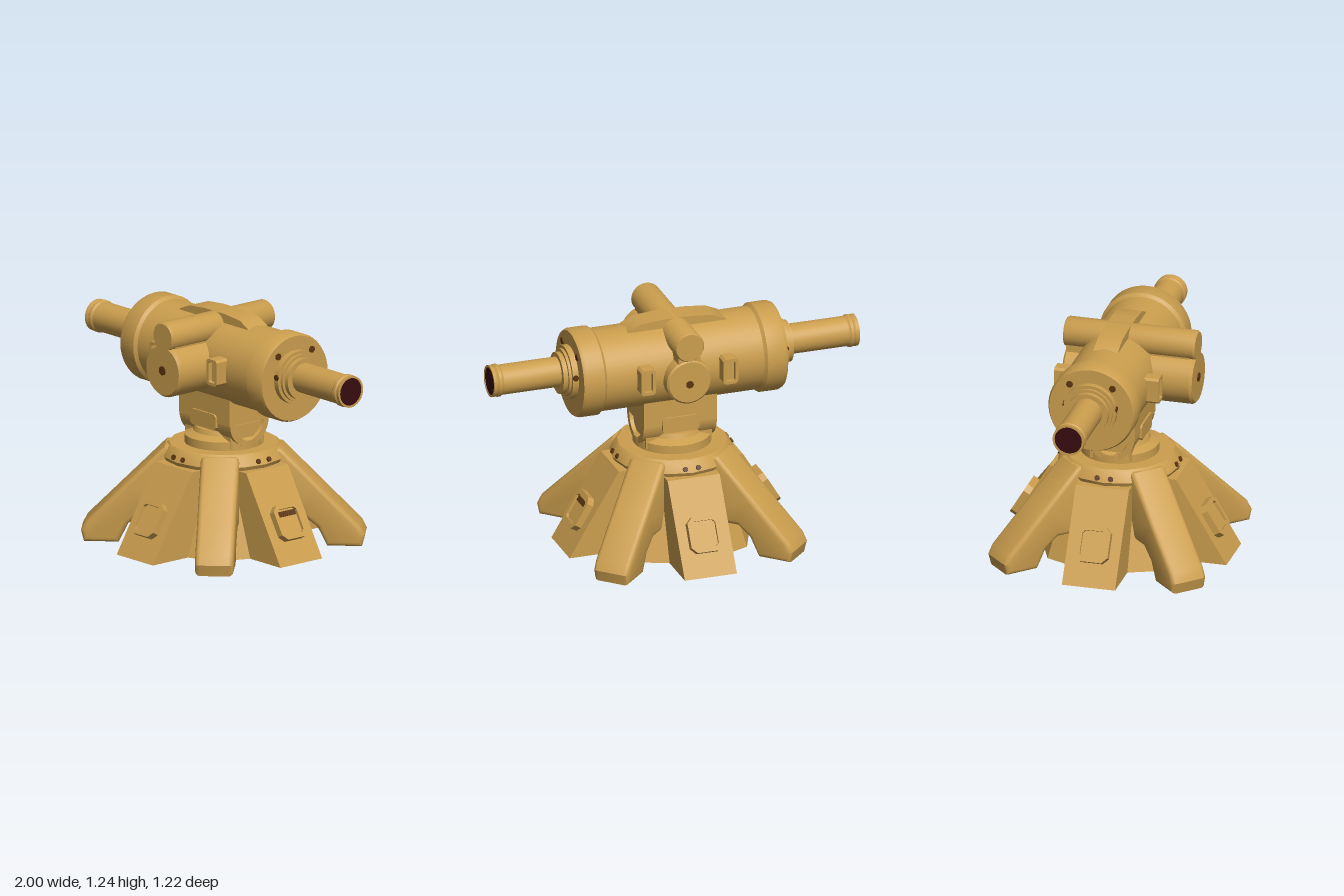
import * as THREE from 'three';
import { toCreasedNormals } from 'three/addons/utils/BufferGeometryUtils.js';

export function createModel() {
  const root = new THREE.Group();
  const mat = (name, color) => Object.assign(new THREE.MeshStandardMaterial({ color }), { name });
  const tan = mat('tan paint', 0xcb9e4e);
  const brown = mat('brown marking', 0x5c3410);
  const maroon = mat('dark bore', 0x380c10);

  const add = (name, geo, material = tan, parent = root, pos = [0, 0, 0]) => {
    const m = new THREE.Mesh(toCreasedNormals(geo, 0.6), material);
    m.name = name;
    m.position.set(...pos);
    parent.add(m);
    return m;
  };
  const lathe = (pts, seg = 32) => new THREE.LatheGeometry(pts.map(p => new THREE.Vector2(...p)), seg);
  // Lathes and discs turned to lie along x or z
  const alongX = (g) => g.rotateZ(-Math.PI / 2);
  const alongZ = (g) => g.rotateX(Math.PI / 2);
  // Side profile (x, y) extruded symmetrically in z
  const slab = (pts, width, bevel = 0) => {
    const shape = new THREE.Shape(pts.map(p => new THREE.Vector2(...p)));
    const depth = width - 2 * bevel;
    return new THREE.ExtrudeGeometry(shape, {
      depth, bevelEnabled: bevel > 0, bevelSize: bevel, bevelOffset: -bevel,
      bevelThickness: bevel, bevelSegments: 3,
    }).translate(0, 0, -depth / 2);
  };
  // Small chamfered frame with an optional opening, facing +z
  const frame = (w, h, depth, c, hole) => {
    const outline = (a, b, k) => [[-a + k, -b], [a - k, -b], [a, -b + k], [a, b - k],
      [a - k, b], [-a + k, b], [-a, b - k], [-a, -b + k]].map(p => new THREE.Vector2(...p));
    const shape = new THREE.Shape(outline(w / 2, h / 2, c));
    if (hole) shape.holes.push(new THREE.Path(outline(w / 2 - hole, h / 2 - hole, c / 2).reverse()));
    return new THREE.ExtrudeGeometry(shape, { depth, bevelEnabled: false });
  };

  // Pedestal core, sloping collar and turntable
  add('pedestalCore', new THREE.CylinderGeometry(0.27, 0.43, 0.48, 8).translate(0, 0.25, 0));
  add('pedestalCollar', lathe([[0, 0.45], [0.31, 0.45], [0.325, 0.48], [0.3, 0.525], [0.285, 0.54], [0, 0.54]], 16));
  add('turntable', lathe([[0, 0.53], [0.205, 0.53], [0.205, 0.585], [0.16, 0.605], [0.15, 0.63], [0, 0.63]]));

  for (let k = 0; k < 4; k++) {
    // Broad buttress with access hatch
    const buttress = new THREE.Group();
    buttress.name = 'buttress';
    buttress.rotation.y = k * Math.PI / 2;
    root.add(buttress);
    add('buttressBody', slab([[0, 0.01], [0.61, 0.01], [0.34, 0.46], [0, 0.46]], 0.285), tan, buttress);
    const hatch = new THREE.Group();
    hatch.name = 'hatch';
    hatch.position.set(0.492, 0.2, 0);
    hatch.rotation.set(0, Math.PI / 2, 0);
    buttress.add(hatch);
    const tilt = new THREE.Group();
    tilt.name = 'hatchTilt';
    tilt.rotation.x = -0.54;
    hatch.add(tilt);
    add('hatchFrame', frame(0.175, 0.19, 0.05, 0.03, 0.025), tan, tilt, [0, 0, -0.01]);
    add('hatchPanel', new THREE.BoxGeometry(0.13, 0.15, 0.03), tan, tilt, [0, 0, 0.01]);
    if (k === 0) add('hatchMark', new THREE.BoxGeometry(0.115, 0.028, 0.006), brown, tilt, [0, 0.045, 0.028]);
    // Paired bolts above the buttress
    for (const s of [-1, 1]) {
      const bolt = add('collarBolt', alongX(new THREE.CylinderGeometry(0.014, 0.014, 0.008, 10)), brown, buttress, [0.314, 0.5, s * 0.036]);
      bolt.rotation.z = 0.5;
    }
    // Arched diagonal leg with a separate foot
    const leg = add('diagonalLeg', slab([[0.18, 0.53], [0.3, 0.53], [0.5, 0.33], [0.71, 0.12], [0.735, 0.07],
      [0.72, 0.01], [0.54, 0.01], [0.49, 0.11], [0.42, 0.165], [0.18, 0.165]], 0.2, 0.025));
    leg.rotation.y = Math.PI / 4 + k * Math.PI / 2;
  }

  // Swivel neck: transverse drum with recessed ends and a saddle
  const drum = add('neckDrum', alongX(lathe([[0, -0.16], [0.095, -0.16], [0.1, -0.2], [0.132, -0.2],
    [0.132, 0.2], [0.1, 0.2], [0.095, 0.16], [0, 0.16]])));
  drum.position.y = 0.685;
  add('neckSaddle', new THREE.BoxGeometry(0.4, 0.15, 0.27), tan, root, [0, 0.755, 0]);
  add('neckFoot', new THREE.BoxGeometry(0.36, 0.12, 0.22), tan, root, [0, 0.61, 0]);
  for (const s of [-1, 1]) {
    add('neckLug', frame(0.2, 0.085, 0.05, 0.015), tan, root, [0, 0.68, s * 0.12 - 0.025]);
    add('neckTongue', new THREE.BoxGeometry(0.02, 0.08, 0.025), tan, root, [s * 0.17, 0.75, 0]);
  }

  // Main housing
  add('housing', alongX(lathe([[0, -0.5], [0.218, -0.5], [0.218, 0.5], [0, 0.5]], 40)), tan, root, [0, 0.99, 0]);
  add('housingRidge', slab([[-0.29, 1.18], [-0.27, 1.205], [-0.2, 1.235], [-0.08, 1.246],
    [0.08, 1.246], [0.2, 1.235], [0.26, 1.205], [0.28, 1.18]], 0.13));

  for (const s of [-1, 1]) {
    const side = new THREE.Group();
    side.name = s > 0 ? 'leftBarrelAssembly' : 'rightBarrelAssembly';
    side.rotation.y = s > 0 ? 0 : Math.PI;
    root.add(side);
    // End cap, stepped collar and tube
    add('endCap', alongX(lathe([[0, 0.43], [0.218, 0.43], [0.234, 0.445], [0.234, 0.54], [0.225, 0.558], [0, 0.558]], 40)), tan, side, [0, 0.99, 0]);
    add('barrelCollar', alongX(lathe([[0, 0.54], [0.142, 0.54], [0.142, 0.59], [0.125, 0.59], [0.125, 0.605],
      [0.11, 0.605], [0.11, 0.63], [0, 0.63]])), tan, side, [0, 1, 0]);
    add('barrel', alongX(lathe([[0, 0.6], [0.079, 0.6], [0.079, 0.945], [0.086, 0.955], [0.086, 0.97], [0.08, 0.978],
      [0.084, 0.985], [0.084, 1], [0.073, 1], [0.073, 0.985], [0, 0.985]])), tan, side, [0, 1.008, 0]);
    add('bore', alongX(new THREE.CylinderGeometry(0.073, 0.073, 0.008, 32)), maroon, side, [0.993, 1.008, 0]);
    for (const t of [-1, 1]) {
      add('capBolt', alongX(new THREE.CylinderGeometry(0.018, 0.018, 0.008, 10)), brown, side, [0.56, 1.125, t * 0.115]);
      add('collarMark', alongZ(new THREE.CylinderGeometry(0.016, 0.016, 0.008, 10)), brown, side, [0.575, 1.02, t * 0.14]);
      // Service panels on the housing flanks
      const panel = new THREE.Group();
      panel.name = 'servicePanel';
      panel.position.set(0.225, 1.0, 0);
      panel.rotation.y = t > 0 ? 0 : Math.PI;
      side.add(panel);
      add('panelFrame', frame(0.08, 0.14, 0.1, 0.012, 0.016), tan, panel, [0, 0, 0.18]);
      add('panelInset', new THREE.BoxGeometry(0.06, 0.12, 0.08), tan, panel, [0, 0, 0.218]);
    }
  }

  // Cross drum: wide front sight, narrower rear sight, thin tube over both
  add('frontDrum', alongZ(lathe([[0, 0], [0.14, 0], [0.14, 0.405], [0.128, 0.42], [0, 0.42]])), tan, root, [0, 0.988, 0]);
  add('rearDrum', alongZ(lathe([[0, -0.28], [0.112, -0.28], [0.122, -0.27], [0.122, 0], [0, 0]])), tan, root, [0, 0.972, 0]);
  add('rearWeb', new THREE.BoxGeometry(0.12, 0.14, 0.25), tan, root, [0, 1.09, -0.148]);
  add('frontWeb', new THREE.BoxGeometry(0.13, 0.1, 0.3), tan, root, [0, 1.12, 0.24]);
  add('topTube', alongZ(lathe([[0, -0.285], [0.074, -0.285], [0.08, -0.275], [0.08, 0.41], [0.072, 0.42], [0, 0.42]])), tan, root, [0, 1.167, 0]);
  add('frontLens', alongZ(new THREE.CylinderGeometry(0.024, 0.024, 0.008, 12)), brown, root, [0, 0.99, 0.421]);
  add('rearLens', alongZ(new THREE.CylinderGeometry(0.02, 0.02, 0.008, 12)), brown, root, [0, 0.96, -0.281]);

  return root;
}
